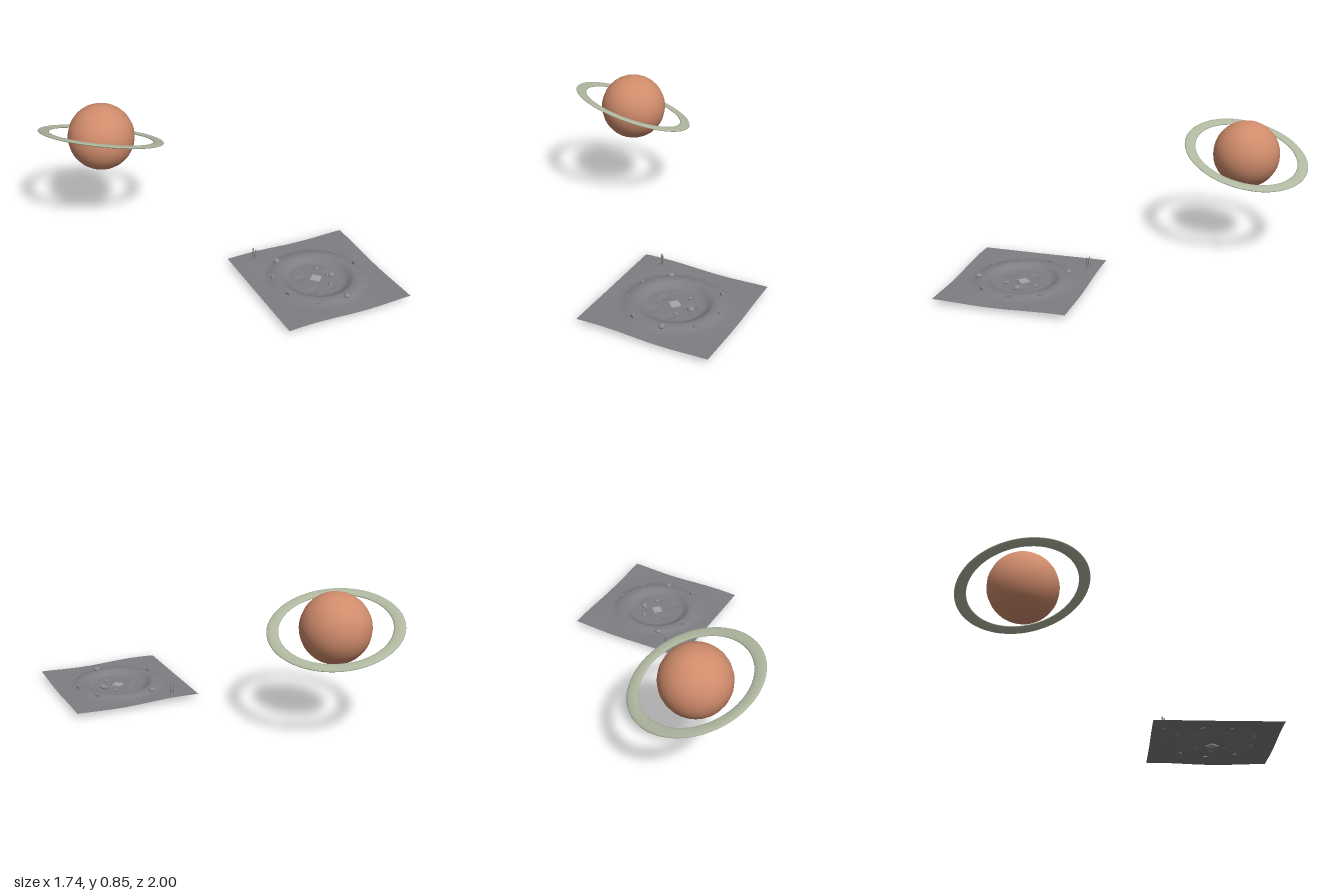
import * as THREE from 'three';

const mat = (name, color, extra = {}) => {
  const m = new THREE.MeshStandardMaterial({ color, ...extra });
  m.name = name;
  return m;
};
const CX = 0.458, CZ = 0.592; // crater centre
const smooth = THREE.MathUtils.smoothstep;

// Height of the terrain: gentle waves, a raised rim, a sunken floor and small dimples
const dimples = [[-0.085, -0.045, 0.035], [-0.085, 0.1, 0.035], [0.1, -0.03, 0.04], [0.04, 0.11, 0.025]];
function groundHeight(x, z) {
  const dx = x - CX, dz = z - CZ, r = Math.hypot(dx, dz);
  let y = 0.023 + 0.006 * Math.sin(dx * 9 + 0.6) * Math.cos(dz * 8 - 0.4) * smooth(r, 0.2, 0.4);
  y += 0.014 * smooth(r, 0.19, 0.23) * (1 - smooth(r, 0.25, 0.32));
  y -= 0.014 * (1 - smooth(r, 0.165, 0.215));
  for (const [a, b, s] of dimples) y -= 0.005 * (1 - smooth(Math.hypot(dx - a, dz - b), s * 0.4, s));
  return y;
}

export function createModel() {
  const root = new THREE.Group();
  const planetMat = mat('terracotta', 0xd08c6c);
  const ringMat = mat('pale sage', 0xb0b8a0);
  const groundMat = mat('moon grey', 0x7e7e83, { side: THREE.DoubleSide });
  const rockMat = mat('rock grey', 0x8c8c8c, { flatShading: true });
  const slabMat = mat('light grey', 0xa6a6a8, { flatShading: true });

  const add = (name, geo, material, x, y, z, parent = root) => {
    const m = new THREE.Mesh(geo, material);
    m.name = name;
    m.position.set(x, y, z);
    parent.add(m);
    return m;
  };

  // Ringed planet
  const planet = new THREE.Group();
  planet.name = 'ringedPlanet';
  planet.position.set(-0.48, 0.636, -0.604);
  root.add(planet);
  add('planetBody', new THREE.SphereGeometry(0.215, 24, 18), planetMat, 0, 0, 0, planet);
  const ringGeo = new THREE.TorusGeometry(0.37, 0.035, 14, 72).rotateX(-Math.PI / 2).scale(1, 0.25, 1);
  const ring = add('planetRing', ringGeo, ringMat, 0, 0, 0, planet);
  ring.quaternion.setFromUnitVectors(
    new THREE.Vector3(0, 1, 0), new THREE.Vector3(0.235, 0.943, -0.235).normalize());

  // Square sheet of terrain with the crater pressed into it
  const ground = new THREE.PlaneGeometry(0.815, 0.815, 72, 72).rotateX(-Math.PI / 2).translate(CX, 0, CZ);
  const p = ground.attributes.position;
  for (let i = 0; i < p.count; i++) p.setY(i, groundHeight(p.getX(i), p.getZ(i)));
  ground.computeVertexNormals();
  add('craterGround', ground, groundMat, 0, 0, 0);

  // Pale square slab in the middle of the crater
  add('centreSlab', new THREE.CylinderGeometry(0.042, 0.042, 0.012, 4), slabMat, CX, 0.009, CZ - 0.004);

  // Round boulders: x, z, radius
  const boulders = [
    [0.31, 0.35, 0.021], [0.515, 0.855, 0.02], [0.563, 0.59, 0.022], [0.545, 0.58, 0.014],
    [0.51, 0.495, 0.015], [0.51, 0.675, 0.015], [0.405, 0.495, 0.009], [0.405, 0.675, 0.009],
    [0.355, 0.59, 0.008], [0.435, 0.285, 0.006],
  ];
  boulders.forEach(([x, z, r], i) => {
    const b = add('boulder', new THREE.IcosahedronGeometry(r, r > 0.0195 ? 1 : 0), rockMat,
      x, groundHeight(x, z) + r * 0.3, z);
    b.scale.y = 0.75;
    b.rotation.y = i * 1.3;
  });

  // Thin stones standing along the rim, turned to follow it
  const stones = [[0.2, 0.505], [0.205, 0.69], [0.665, 0.4], [0.735, 0.575], [0.68, 0.765], [0.325, 0.845]];
  for (const [x, z] of stones) {
    const s = add('rimStone', new THREE.BoxGeometry(0.009, 0.022, 0.026), rockMat,
      x, groundHeight(x, z) + 0.006, z);
    s.rotation.y = -Math.atan2(z - CZ, x - CX);
  }

  // Cluster of tall spires at the back corner
  const spires = [[0.195, 0.25, 0.075], [0.208, 0.263, 0.07], [0.212, 0.25, 0.025], [0.194, 0.264, 0.025]];
  for (const [x, z, h] of spires) {
    add('spire', new THREE.CylinderGeometry(0.004, 0.008, h, 5), rockMat,
      x, groundHeight(x, z) + h / 2 - 0.002, z);
  }
  return root;
}
